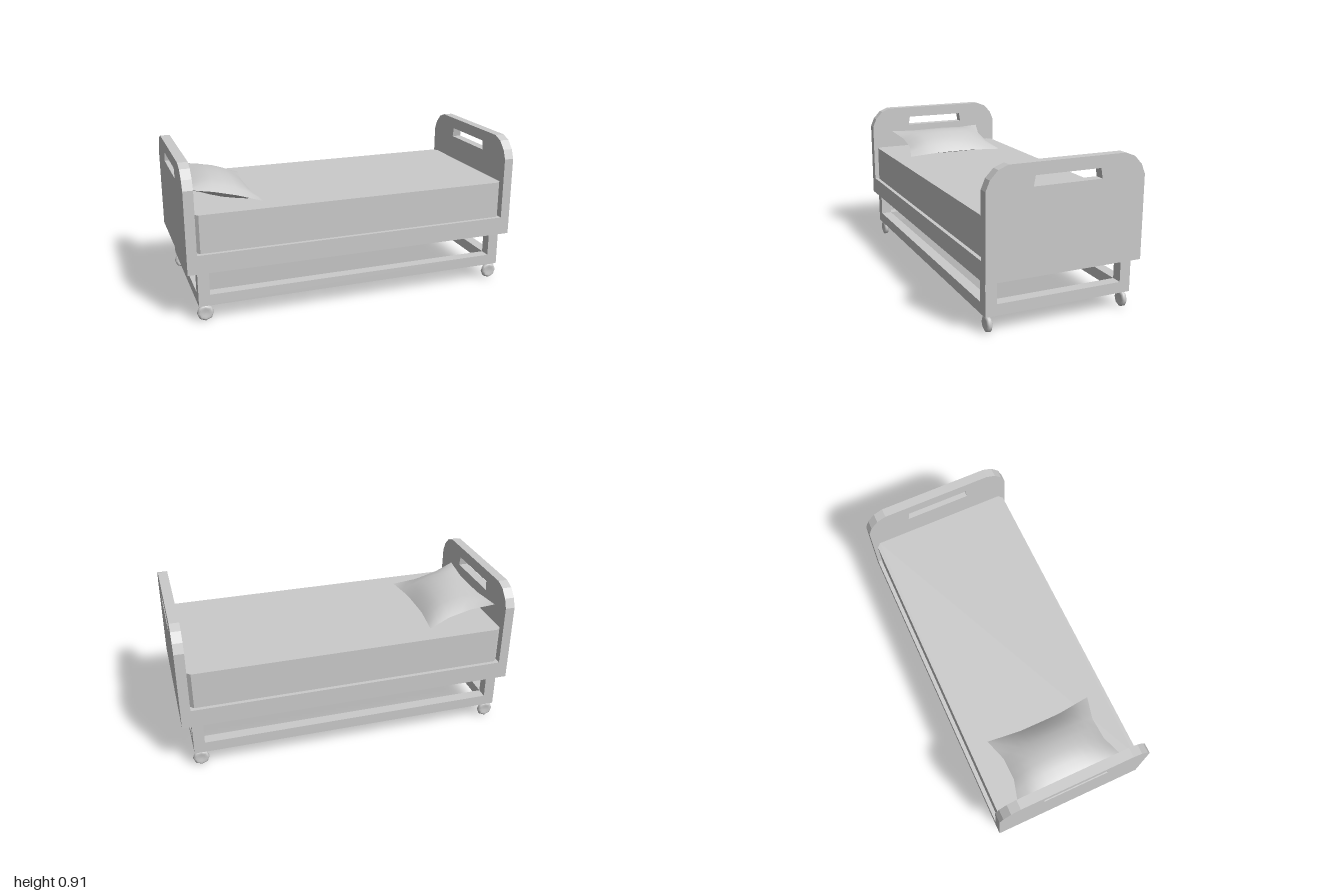
import * as THREE from 'three';

const grey = new THREE.MeshStandardMaterial({ color: 0xcccccc });
const flat = new THREE.MeshStandardMaterial({ color: 0xcccccc, flatShading: true });

function add(parent, name, geometry, material = flat) {
  const mesh = new THREE.Mesh(geometry, material);
  mesh.name = name;
  parent.add(mesh);
  return mesh;
}

// Box given by its lower and upper corners
function box(parent, name, [x0, y0, z0], [x1, y1, z1]) {
  const mesh = add(parent, name, new THREE.BoxGeometry(x1 - x0, y1 - y0, z1 - z0));
  mesh.position.set((x0 + x1) / 2, (y0 + y1) / 2, (z0 + z1) / 2);
  return mesh;
}

const points = (list) => list.map(([x, y]) => new THREE.Vector2(x, y));

// End board with clipped upper corners and a hand slot
function boardGeometry() {
  const right = [[0.463, 0.305], [0.463, 0.785], [0.44, 0.84], [0.395, 0.888], [0.338, 0.91]];
  const left = right.map(([z, y]) => [-z, y]).reverse();
  const shape = new THREE.Shape(points([...right, ...left]));
  shape.holes.push(new THREE.Path(points([[-0.2, 0.785], [-0.19, 0.842], [0.19, 0.842], [0.2, 0.785]])));
  const g = new THREE.ExtrudeGeometry(shape, { depth: 0.057, bevelEnabled: false });
  return g.translate(0, 0, -0.0285).rotateY(Math.PI / 2);
}

// Mattress block with small chamfers on its upright edges
function mattressGeometry() {
  const x = 0.943, z = 0.44, c = 0.023;
  const shape = new THREE.Shape(points([
    [x - c, -z], [x, c - z], [x, z - c], [x - c, z],
    [c - x, z], [-x, z - c], [-x, c - z], [c - x, -z],
  ]));
  const g = new THREE.ExtrudeGeometry(shape, { depth: 0.222, bevelEnabled: false });
  return g.rotateX(-Math.PI / 2).translate(0, 0.414, 0);
}

// One face of the pillow: puffed in the middle, with edges drawn in between the corners
function pillowFace(side) {
  const g = new THREE.PlaneGeometry(2, 2, 6, 10).rotateX(-Math.PI / 2);
  const p = g.attributes.position;
  for (let i = 0; i < p.count; i++) {
    const u = p.getX(i), v = p.getZ(i);
    const pullX = 0.024 * Math.min(1, (1 - Math.abs(v)) * 1.6);
    const pullZ = 0.04 * Math.min(1, (1 - Math.abs(u)) * 1.5);
    const puff = 0.064 * Math.pow(Math.max(0, 1 - u * u), 0.9) * Math.pow(Math.max(0, 1 - v * v), 0.6);
    p.setXYZ(i, u * (0.213 - pullX), side * puff, v * (0.325 - pullZ));
  }
  if (side < 0) {
    const index = g.index.array;
    for (let i = 0; i < index.length; i += 3) [index[i], index[i + 1]] = [index[i + 1], index[i]];
  }
  g.computeVertexNormals();
  return g;
}

// Rounded eight-sided caster wheel, axle along z
function wheelGeometry() {
  const profile = points([
    [0, -0.011], [0.022, -0.012], [0.034, -0.016], [0.043, -0.012], [0.048, -0.005],
    [0.048, 0.005], [0.043, 0.012], [0.034, 0.016], [0.022, 0.012], [0, 0.011],
  ]);
  return new THREE.LatheGeometry(profile, 8).rotateX(Math.PI / 2);
}

export function createModel() {
  const bed = new THREE.Group();
  bed.name = 'bed';

  box(bed, 'bedBase', [-0.944, 0.305, -0.463], [0.944, 0.414, 0.463]);
  add(bed, 'mattress', mattressGeometry());

  const board = boardGeometry();
  for (const s of [-1, 1]) {
    add(bed, s < 0 ? 'headboard' : 'footboard', board).position.x = s * 0.9715;
  }

  // Underframe: a low ring of rails, four legs and four casters
  const frame = new THREE.Group();
  frame.name = 'underframe';
  bed.add(frame);
  const wheel = wheelGeometry();
  for (const s of [-1, 1]) {
    const z = [s * 0.375, s * 0.44].sort((a, b) => a - b);
    const x = [s * 0.88, s * 0.945].sort((a, b) => a - b);
    box(frame, 'sideRail', [-0.945, 0.1, z[0]], [0.945, 0.165, z[1]]);
    box(frame, 'endRail', [x[0], 0.1, -0.375], [x[1], 0.165, 0.375]);
    for (const t of [-1, 1]) {
      const leg = box(frame, 'leg', [0.88, 0.165, 0.375], [0.945, 0.305, 0.44]);
      leg.position.x *= s;
      leg.position.z *= t;
      add(frame, 'casterWheel', wheel, grey).position.set(s * 0.907, 0.049, t * 0.413);
    }
  }

  // Pillow leaning against the headboard
  const pillow = new THREE.Group();
  pillow.name = 'pillow';
  add(pillow, 'pillowTop', pillowFace(1), grey);
  add(pillow, 'pillowUnderside', pillowFace(-1), grey);
  pillow.position.set(-0.738, 0.694, 0);
  pillow.rotation.z = -0.25;
  bed.add(pillow);

  return bed;
}
